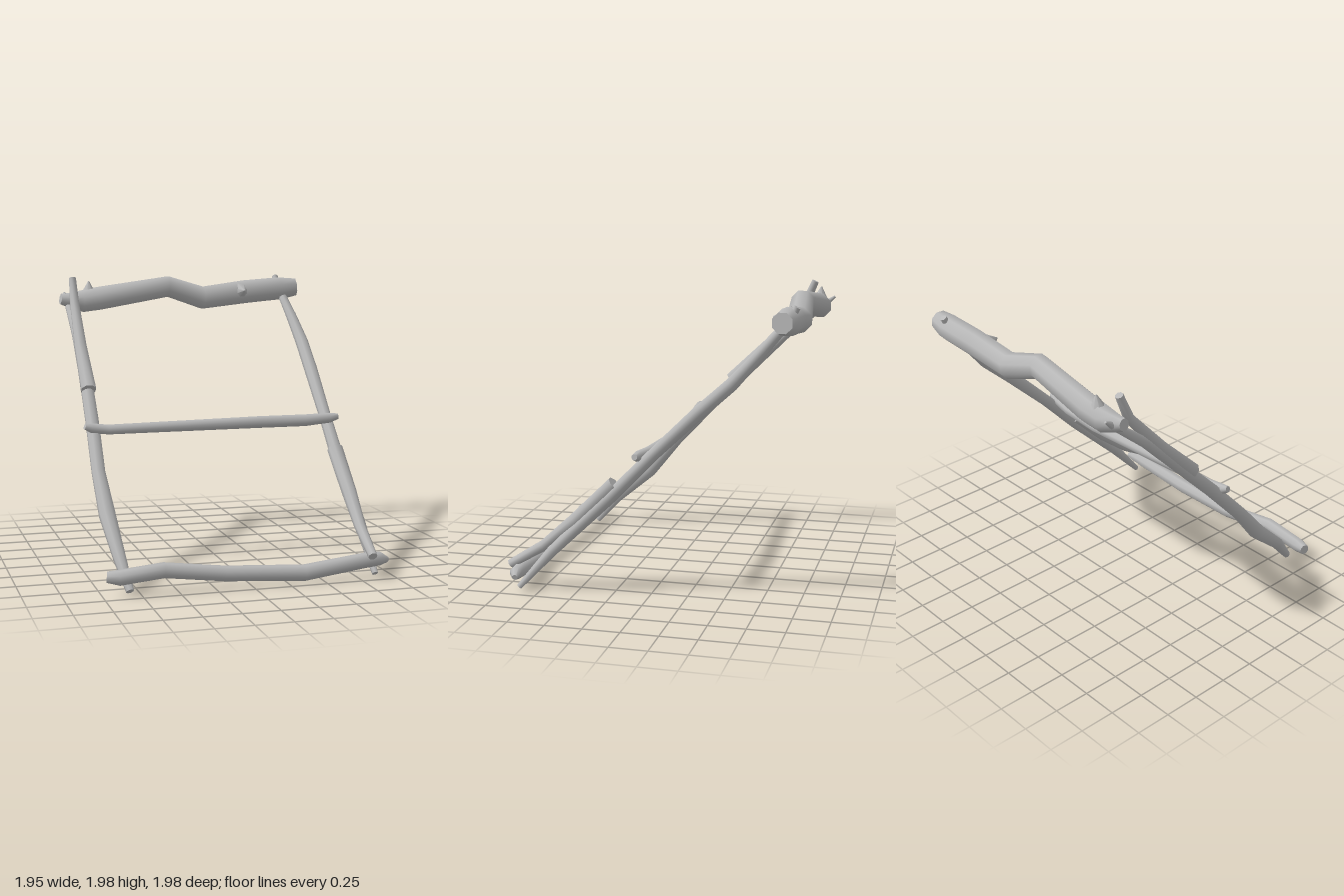
import * as THREE from 'three';

const SIDES = 8;
const wood = new THREE.MeshStandardMaterial({ color: 0xb8b8b8 });
wood.name = 'grey wood';

// Crooked tapering log through points [x, y, z, radius]; flat caps at both ends
function log(name, pts, ref) {
  const centres = pts.map(p => new THREE.Vector3(p[0], p[1], p[2]));
  const last = pts.length - 1;
  const pos = [], idx = [];
  const rings = centres.map((c, i) => {
    const before = c.clone().sub(centres[Math.max(i - 1, 0)]).normalize();
    const after = centres[Math.min(i + 1, last)].clone().sub(c).normalize();
    const t = before.add(after).normalize();
    const u = ref.clone().addScaledVector(t, -ref.dot(t)).normalize();
    const v = t.clone().cross(u);
    const ring = [];
    for (let j = 0; j < SIDES; j++) {
      const a = (j + 0.5) / SIDES * Math.PI * 2, r = pts[i][3] * 1.04;
      ring.push(c.clone().addScaledVector(u, r * Math.cos(a)).addScaledVector(v, r * Math.sin(a)));
    }
    return ring;
  });
  rings.forEach(ring => ring.forEach(p => pos.push(p.x, p.y, p.z)));
  for (let i = 0; i < last; i++) {
    for (let j = 0; j < SIDES; j++) {
      const k = (j + 1) % SIDES;
      const a = i * SIDES + j, b = i * SIDES + k;
      idx.push(a, b, a + SIDES, b, b + SIDES, a + SIDES);
    }
  }
  // caps own their vertices so the cut edges stay sharp
  for (const end of [0, last]) {
    const base = pos.length / 3;
    rings[end].forEach(p => pos.push(p.x, p.y, p.z));
    for (let j = 1; j < SIDES - 1; j++) {
      if (end) idx.push(base, base + j, base + j + 1);
      else idx.push(base, base + j + 1, base + j);
    }
  }
  const g = new THREE.BufferGeometry();
  g.setAttribute('position', new THREE.Float32BufferAttribute(pos, 3));
  g.setIndex(idx);
  g.computeVertexNormals();
  const m = new THREE.Mesh(g, wood);
  m.name = name;
  return m;
}

export function createModel() {
  const group = new THREE.Group();
  group.name = 'rustic log frame';
  const X = new THREE.Vector3(1, 0, 0), Y = new THREE.Vector3(0, 1, 0);

  // Horizontal rails, from -x to +x
  group.add(log('topBeam', [
    [-0.945, 1.83, -0.87, 0.04], [-0.885, 1.82, -0.875, 0.055], [-0.78, 1.81, -0.885, 0.083],
    [-0.65, 1.83, -0.89, 0.088], [-0.12, 1.915, -0.855, 0.08], [0.16, 1.825, -0.878, 0.087],
    [0.52, 1.868, -0.89, 0.09], [0.8, 1.89, -0.9, 0.088], [0.925, 1.9, -0.89, 0.068]], Y));
  group.add(log('middleRung', [
    [-0.945, 0.995, 0.065, 0.022], [-0.9, 0.98, 0.06, 0.034], [-0.78, 0.965, 0.057, 0.034],
    [0.35, 0.967, 0.01, 0.042], [0.68, 0.97, 0.035, 0.042], [0.86, 0.985, 0.06, 0.036],
    [0.925, 0.995, 0.065, 0.02]], Y));
  group.add(log('bottomRail', [
    [-0.97, 0.14, 0.897, 0.035], [-0.89, 0.135, 0.915, 0.05], [-0.6, 0.165, 0.92, 0.05],
    [-0.18, 0.108, 0.902, 0.05], [0.36, 0.082, 0.932, 0.053], [0.8, 0.13, 0.912, 0.05],
    [0.91, 0.135, 0.91, 0.045], [0.968, 0.122, 0.9, 0.018]], Y));

  // Sloping posts, from the foot upward
  group.add(log('rightPost', [
    [-0.815, 0.03, 0.88, 0.026], [-0.85, 0.22, 0.72, 0.042], [-0.875, 0.45, 0.46, 0.055],
    [-0.89, 0.7, 0.25, 0.046], [-0.875, 1.0, -0.03, 0.046], [-0.865, 1.3, -0.33, 0.044],
    [-0.87, 1.58, -0.62, 0.036], [-0.885, 1.81, -0.9, 0.028], [-0.9, 1.87, -0.98, 0.008]], X));
  group.add(log('rightPostUpperFork', [
    [-0.866, 1.215, -0.205, 0.054], [-0.867, 1.5, -0.49, 0.043], [-0.86, 1.8, -0.755, 0.033],
    [-0.86, 1.985, -0.835, 0.026]], X));
  group.add(log('leftPost', [
    [0.88, 0.03, 0.9, 0.02], [0.872, 0.3, 0.66, 0.038], [0.86, 0.7, 0.25, 0.045],
    [0.86, 1.0, -0.04, 0.042], [0.865, 1.3, -0.35, 0.047], [0.868, 1.49, -0.56, 0.046],
    [0.84, 1.68, -0.73, 0.038], [0.81, 1.83, -0.86, 0.03]], X));
  group.add(log('leftPostLowerFork', [
    [0.842, 0.785, 0.225, 0.054], [0.845, 0.52, 0.5, 0.05], [0.835, 0.32, 0.735, 0.038],
    [0.828, 0.17, 0.98, 0.03]], X));

  // Broken-off branch stubs on the top beam
  group.add(log('upperSpike', [[-0.73, 1.84, -0.89, 0.07], [-0.725, 1.96, -0.9, 0.004]], X));
  group.add(log('frontSpike', [[0.46, 1.87, -0.86, 0.08], [0.465, 1.88, -0.75, 0.004]], X));
  group.add(log('smallKnob', [[0.78, 1.93, -0.93, 0.025], [0.78, 1.985, -0.96, 0.022]], X));
  return group;
}
